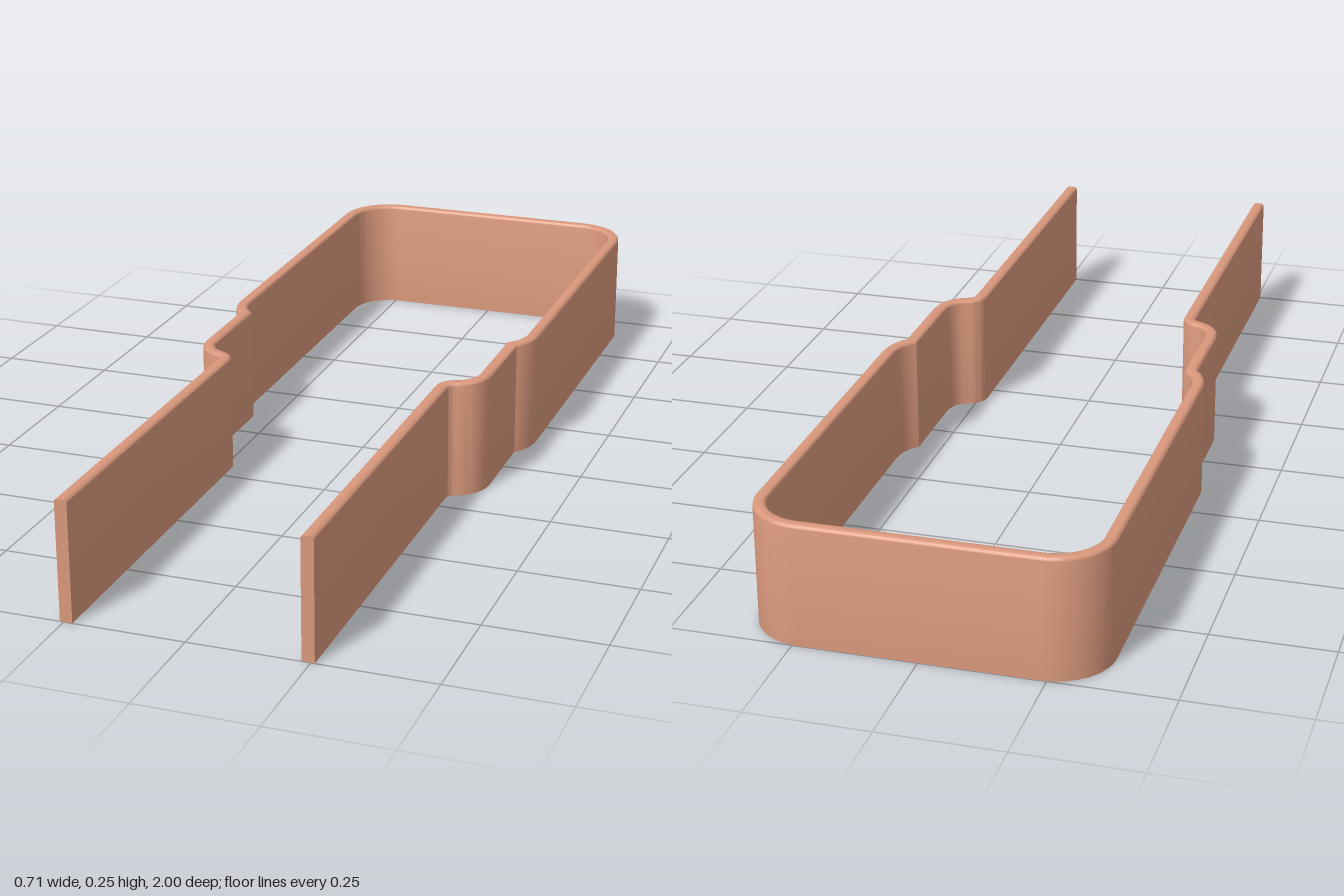
import * as THREE from 'three';
import { toCreasedNormals } from 'three/addons/utils/BufferGeometryUtils.js';

const HEIGHT = 0.255, HALF = 0.013, ROUND = 0.007;

// Centre line of the strip in plan (x, z): one leg up to the middle of the back, then mirrored
function centreLine() {
  const path = new THREE.Path();
  path.moveTo(0.245, 1);
  path.lineTo(0.245, 0.205);
  path.quadraticCurveTo(0.245, 0.183, 0.268, 0.174);
  path.quadraticCurveTo(0.313, 0.158, 0.313, 0.1);
  path.lineTo(0.313, -0.09);
  path.quadraticCurveTo(0.342, -0.118, 0.342, -0.165);
  path.lineTo(0.342, -0.882);
  path.absarc(0.237, -0.882, 0.105, 0, -Math.PI / 2, true);
  const half = path.getPoints(10).filter((p, i, a) => i === 0 || p.distanceTo(a[i - 1]) > 1e-5);
  const mirrored = half.map((p) => new THREE.Vector2(-p.x, p.y)).reverse();
  return [...half, ...mirrored];
}

// Cross-section (sideways, up): flat bottom, softly rounded top edges
function crossSection() {
  const pts = [[-HALF, 0], [HALF, 0]];
  for (const side of [1, -1]) {
    for (let k = 0; k <= 3; k++) {
      const a = (side > 0 ? k : 3 - k) * Math.PI / 6;
      pts.push([
        side * (HALF - ROUND + ROUND * Math.cos(a)),
        HEIGHT - ROUND + ROUND * Math.sin(a),
      ]);
    }
  }
  return pts;
}

// Sweep the section along the line with mitred joints and capped ends
function sweep(line, section) {
  const n = section.length, last = line.length - 1;
  const positions = [], index = [];
  line.forEach((p, i) => {
    const before = p.clone().sub(line[Math.max(i - 1, 0)]).normalize();
    const after = line[Math.min(i + 1, last)].clone().sub(p).normalize();
    const t = before.clone().add(after).normalize();
    const mitre = 1 / t.dot(i < last ? after : before);
    for (const [s, y] of section) {
      positions.push(p.x + t.y * s * mitre, y, p.y - t.x * s * mitre);
    }
  });
  for (let i = 0; i < last; i++) {
    for (let j = 0; j < n; j++) {
      const a = i * n + j, b = i * n + (j + 1) % n;
      index.push(a, b, b + n, a, b + n, a + n);
    }
  }
  for (let j = 1; j < n - 1; j++) {
    index.push(0, j + 1, j);
    index.push(last * n, last * n + j, last * n + j + 1);
  }
  const geometry = new THREE.BufferGeometry();
  geometry.setAttribute('position', new THREE.Float32BufferAttribute(positions, 3));
  geometry.setIndex(index);
  return toCreasedNormals(geometry, 0.6);
}

export function createModel() {
  const group = new THREE.Group();
  group.name = 'springClip';
  const copper = new THREE.MeshStandardMaterial({ color: 0xd9987c });
  const strip = new THREE.Mesh(sweep(centreLine(), crossSection()), copper);
  strip.name = 'bentStrip';
  group.add(strip);
  return group;
}
